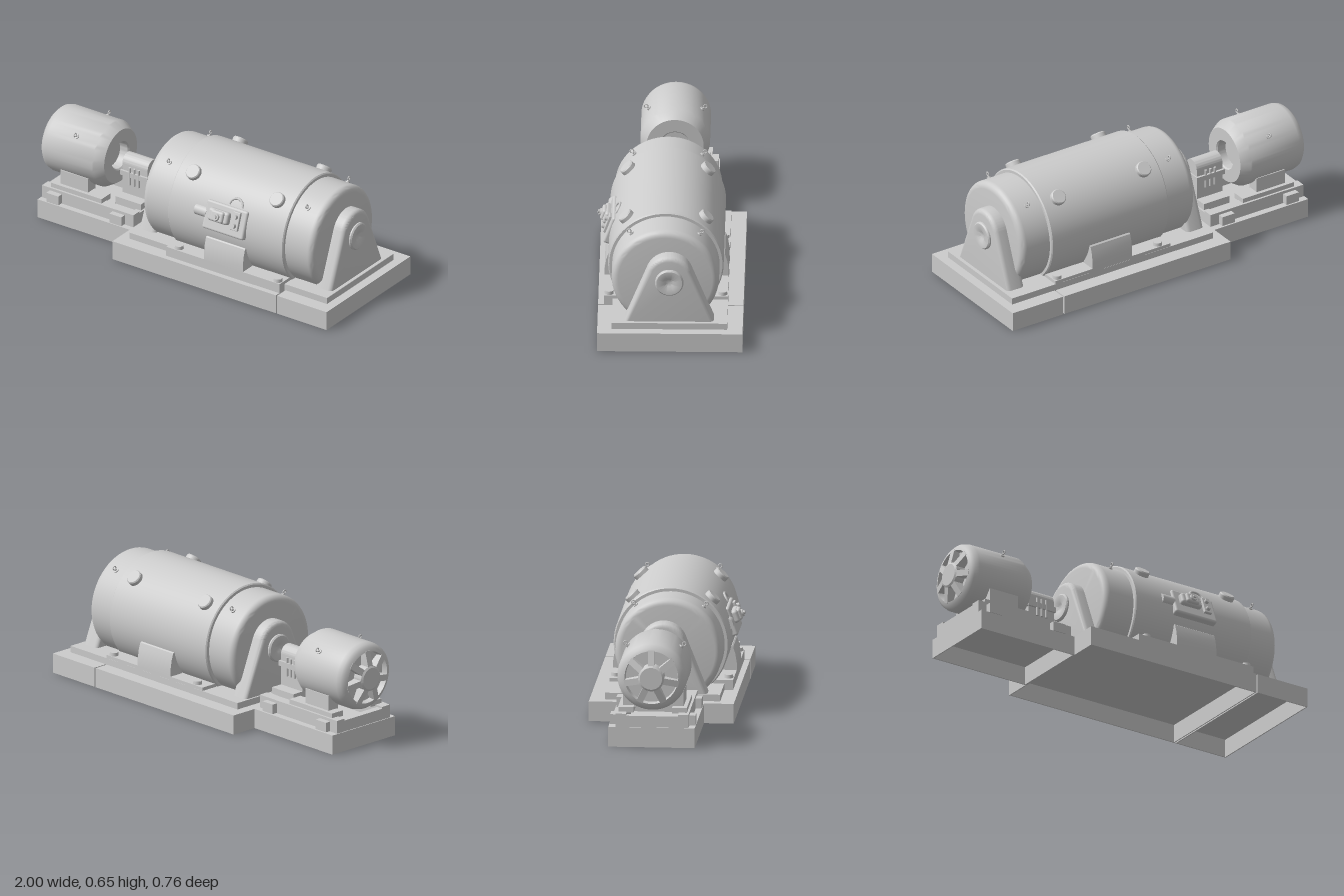
import * as THREE from 'three';
import { toCreasedNormals } from 'three/addons/utils/BufferGeometryUtils.js';
import { RoundedBoxGeometry } from 'three/addons/geometries/RoundedBoxGeometry.js';

const mat = new THREE.MeshStandardMaterial({ color: 0xcccccc });

function add(parent, name, geo) {
  const m = new THREE.Mesh(geo, mat);
  m.name = name;
  parent.add(m);
  return m;
}

// Box from its limits; a radius rounds its edges.
function box(parent, name, x0, x1, y0, y1, z0, z1, radius = 0) {
  const s = [x1 - x0, y1 - y0, z1 - z0];
  const geo = radius ? new RoundedBoxGeometry(...s, 3, radius) : new THREE.BoxGeometry(...s);
  geo.translate((x0 + x1) / 2, (y0 + y1) / 2, (z0 + z1) / 2);
  return add(parent, name, geo);
}

// Turned body along x from [x, radius] pairs; vertices under floorY are pressed flat.
function turned(parent, name, pts, y, z, floorY = -1) {
  let geo = new THREE.LatheGeometry(pts.map(([x, r]) => new THREE.Vector2(r, x)), 64);
  geo = toCreasedNormals(geo.rotateZ(-Math.PI / 2), 0.6);
  geo.translate(0, y, z);
  const p = geo.attributes.position;
  for (let i = 0; i < p.count; i++) p.setY(i, Math.max(floorY, p.getY(i)));
  return add(parent, name, geo);
}

// Shape drawn in (z, y), extruded from x0 to x1.
function prismX(parent, name, shape, x0, x1, bevel = 0) {
  let geo = new THREE.ExtrudeGeometry(shape, {
    depth: x1 - x0 - 2 * bevel, bevelEnabled: bevel > 0, bevelSize: bevel, bevelThickness: bevel,
    bevelOffset: -bevel, bevelSegments: 4, curveSegments: 28,
  });
  geo.translate(0, 0, x0 + bevel).rotateY(Math.PI / 2);
  return add(parent, name, toCreasedNormals(geo, 0.6));
}
// The extrusion turns shape x into -z, so points are mirrored here.
const shapeZY = (pts) => new THREE.Shape(pts.map(([z, y]) => new THREE.Vector2(-z, y)));

// Group whose local +z points outward from a drum axis at the given elevation.
function radial(parent, name, x, y, z, degrees) {
  const g = new THREE.Group();
  g.name = name;
  g.position.set(x, y, z);
  g.rotation.x = -THREE.MathUtils.degToRad(degrees);
  parent.add(g);
  return g;
}

function disc(parent, name, r, n0, n1, x = 0, t = 0, r2 = r) {
  const geo = new THREE.CylinderGeometry(r2, r, n1 - n0, 32).rotateX(Math.PI / 2);
  return add(parent, name, geo.translate(x, t, (n0 + n1) / 2));
}

function eyeBolt(parent, x, y, z, degrees, r) {
  const g = radial(parent, 'eyeBolt', x, y, z, degrees);
  disc(g, 'eyeBoltCollar', 0.012, r - 0.008, r + 0.006);
  disc(g, 'eyeBoltStem', 0.005, r, r + 0.014);
  add(g, 'eyeBoltRing', new THREE.TorusGeometry(0.0095, 0.003, 8, 24)
    .rotateY(Math.PI / 2).translate(0, 0, r + 0.023));
}

// Hollow base, open underneath.
function hollowBase(parent, name, x0, x1, z0, z1, h = 0.105, t = 0.006) {
  const g = new THREE.Group();
  g.name = name;
  parent.add(g);
  box(g, 'baseTop', x0, x1, h - t, h, z0, z1);
  for (const z of [z0, z1 - t]) box(g, 'baseSide', x0, x1, 0, h - t, z, z + t);
  for (const x of [x0, x1 - t]) box(g, 'baseEnd', x, x + t, 0, h - t, z0 + t, z1 - t);
}

function buildMainMachine(root) {
  const CY = 0.348, CZ = 0.018;
  const g = new THREE.Group();
  g.name = 'mainMachine';
  root.add(g);

  // Drum: wide centre shell and two rounded end shells
  const R = 0.3, r = 0.279;
  turned(g, 'centreShell', [[-0.045, 0.27], [-0.045, R - 0.006], [-0.039, R],
    [0.679, R], [0.685, R - 0.006], [0.685, 0.27]], CY, CZ, 0.115);
  const fillet = [0, 1, 2, 3, 4, 5, 6].map((i) => {
    const a = (i / 6) * Math.PI / 2;
    return [0.035 * (1 - Math.sin(a)), r - 0.035 * (1 - Math.cos(a))];
  });
  turned(g, 'endShells', [[-0.225, 0], ...fillet.reverse().map(([x, q]) => [-0.225 + x, q]).sort((a, b) => a[0] - b[0]),
    ...fillet.map(([x, q]) => [0.86 - x, q]).sort((a, b) => a[0] - b[0]), [0.86, 0]], CY, CZ, 0.115);

  // Plinth, flange plate and the two side feet
  box(g, 'plinth', -0.305, 0.95, 0.1, 0.14, -0.305, 0.295);
  for (const s of [-1, 1]) {
    const zs = (d) => CZ + s * d;
    box(g, 'footFlange', -0.04, 0.68, 0.1, 0.158, Math.min(zs(0.22), zs(0.322)), Math.max(zs(0.22), zs(0.322)));
    prismX(g, 'sideFoot', shapeZY([[zs(0.322), 0.15], [zs(0.322), 0.195], [zs(0.314), 0.245],
      [zs(0.303), 0.28], [zs(0.296), 0.285], [zs(0.28), 0.28], [zs(0.235), 0.15]]), 0.2, 0.447);
    for (const x of [0.024, 0.652]) {
      add(g, 'flangeBolt', new THREE.CylinderGeometry(0.022, 0.024, 0.02, 24).translate(x, 0.166, zs(0.295)));
    }
  }

  // Bearing pedestals at both ends with round hubs
  const a = THREE.MathUtils.degToRad(22), PZ = 0.004;
  const ped = new THREE.Shape();
  ped.moveTo(PZ - 0.241, 0.115);
  ped.lineTo(PZ + 0.241, 0.115);
  ped.absarc(PZ, 0.39, 0.122, a, Math.PI - a, false);
  ped.closePath();
  prismX(g, 'rightPedestal', ped, -0.295, -0.19, 0.024);
  prismX(g, 'leftPedestal', ped, 0.825, 0.93, 0.024);
  for (const s of [-1, 1]) {
    const pts = [[0.6, 0.074], [0.62, 0.074], [0.627, 0.067], [0.627, 0.034], [0.618, 0.02], [0.615, 0]];
    const hub = pts.map(([x, q]) => [0.3175 + s * x, q]);
    turned(g, 'bearingHub', s > 0 ? hub : hub.reverse(), 0.37, -0.004);
  }

  // Round covers and eye bolts on both shoulders
  for (const deg of [47.5, 132.5]) {
    for (const x of [0.055, 0.587]) {
      const c = radial(g, 'shoulderCover', x, CY, CZ, deg);
      disc(c, 'coverBody', 0.041, 0.28, 0.319);
      disc(c, 'coverRim', 0.041, 0.319, 0.325, 0, 0, 0.036);
    }
  }
  for (const deg of [51, 129]) for (const x of [-0.12, 0.76]) eyeBolt(g, x, CY, CZ, deg, r);

  // Control panel on the front
  const p = radial(g, 'controlPanel', 0, CY, CZ, 20);
  box(p, 'panelCase', 0.19, 0.45, -0.115, 0.04, 0.255, 0.312, 0.012);
  box(p, 'switchBox', 0.226, 0.354, -0.06, 0.008, 0.29, 0.34, 0.015);
  box(p, 'switchLid', 0.25, 0.33, -0.056, 0.004, 0.32, 0.353, 0.012);
  disc(p, 'switchKnob', 0.022, 0.35, 0.362, 0.29, -0.028, 0.018);
  disc(p, 'switchKnobTip', 0.01, 0.362, 0.371, 0.29, -0.028);
  box(p, 'buttonPlate', 0.37, 0.415, -0.075, 0.025, 0.3, 0.326, 0.004);
  for (const t of [-0.05, -0.002]) disc(p, 'button', 0.014, 0.32, 0.342, 0.392, t, 0.011);
  add(p, 'conduit', new THREE.CylinderGeometry(0.03, 0.03, 0.075, 28)
    .rotateZ(Math.PI / 2).translate(0.163, -0.032, 0.285));

  // Arched handle above the panel
  const h = radial(g, 'archedHandle', 0.362, CY, CZ, 31);
  add(h, 'handleArc', new THREE.TorusGeometry(0.04, 0.007, 8, 24, Math.PI).translate(0, -0.01, 0.302));
}

function buildDriveMotor(root) {
  const CY = 0.377, CZ = -0.008;
  const g = new THREE.Group();
  g.name = 'driveMotor';
  root.add(g);

  // Body with a vent recess at the outer end and a shaft bore at the inner end
  turned(g, 'motorBody', [[-0.94, 0], [-0.94, 0.135], [-0.972, 0.14], [-0.965, 0.158], [-0.95, 0.174],
    [-0.925, 0.181], [-0.63, 0.181], [-0.622, 0.178], [-0.575, 0.148], [-0.575, 0.08], [-0.582, 0.073],
    [-0.63, 0.073], [-0.63, 0]], CY, CZ);
  turned(g, 'ventHub', [[-1, 0], [-1, 0.058], [-0.993, 0.068], [-0.94, 0.068]], CY, CZ);
  for (let i = 0; i < 7; i++) {
    const s = new THREE.Shape([[-0.998, 0.05], [-0.935, 0.05], [-0.935, 0.145], [-0.972, 0.145]]
      .map(([x, y]) => new THREE.Vector2(x, y)));
    const geo = new THREE.ExtrudeGeometry(s, { depth: 0.034, bevelEnabled: false });
    geo.translate(0, 0, -0.017).rotateX((i / 7) * Math.PI * 2).translate(0, CY, CZ);
    add(g, 'ventSpoke', geo);
  }
  for (const deg of [41, 139]) eyeBolt(g, -0.755, CY, CZ, deg, 0.181);

  // Motor feet, slide rails and adjusting blocks
  for (const s of [-1, 1]) {
    const span = (a, b) => [Math.min(CZ + s * a, CZ + s * b), Math.max(CZ + s * a, CZ + s * b)];
    box(g, 'motorFoot', -0.845, -0.67, 0.19, 0.28, ...span(0.09, 0.158));
    box(g, 'railCap', -0.89, -0.57, 0.17, 0.2, ...span(0.1, 0.178));
    box(g, 'slideRail', -0.94, -0.36, 0.1, 0.175, ...span(0.135, 0.19));
    for (const x of [-0.89, -0.49]) box(g, 'railBlock', x, x + 0.076, 0.108, 0.16, ...span(0.18, 0.222));
  }
  for (const x of [-0.94, -0.57, -0.4]) box(g, 'crossBeam', x, x + 0.04, 0.1, 0.165, CZ - 0.14, CZ + 0.14);

  // Bearing block between motor and machine
  box(g, 'bearingPlate', -0.53, -0.37, 0.1, 0.2, -0.12, 0.1);
  box(g, 'bearingLower', -0.53, -0.37, 0.2, 0.305, -0.055, 0.04);
  box(g, 'bearingFlange', -0.536, -0.364, 0.305, 0.333, -0.068, 0.052);
  const cap = new THREE.Shape();
  cap.moveTo(-0.04, 0.333);
  cap.lineTo(0.055, 0.333);
  cap.absarc(0.0075, 0.367, 0.0475, 0, Math.PI, false);
  cap.closePath();
  prismX(g, 'bearingCap', cap, -0.53, -0.37);
  for (const x of [-0.478, -0.45, -0.422]) {
    for (const z of [-0.061, 0.046]) {
      add(g, 'bearingBolt', new THREE.CylinderGeometry(0.007, 0.007, 0.1, 12).translate(x, 0.31, z));
    }
  }
}

export function createModel() {
  const root = new THREE.Group();
  root.name = 'machineSet';
  hollowBase(root, 'mainBase', -0.36, 0.678, -0.385, 0.37);
  hollowBase(root, 'endBase', 0.686, 1, -0.385, 0.37);
  hollowBase(root, 'motorBase', -0.945, -0.36, -0.235, 0.215);
  buildMainMachine(root);
  buildDriveMotor(root);
  return root;
}
